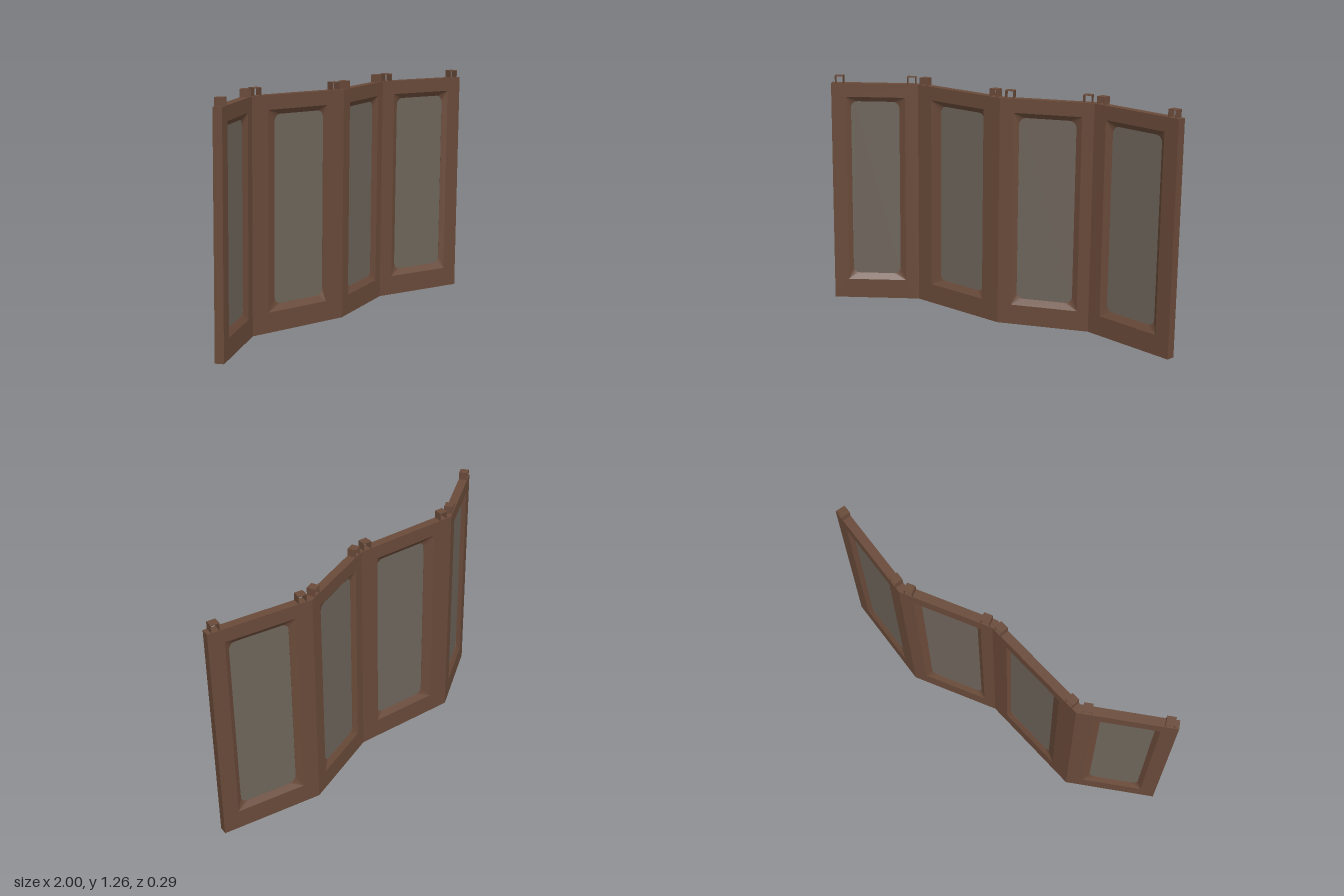
import * as THREE from 'three';

const HEIGHT = 1.195, HALF = 0.0225, ARC = 5;

const wood = new THREE.MeshStandardMaterial({ color: 0x694a39 });
wood.name = 'brown wood';
const pane = new THREE.MeshStandardMaterial({ color: 0x6e655b });
pane.name = 'grey pane';

// Plan of the folding screen: joints of the zigzag as [x, z]
const JOINTS = [[-0.982, 0.12], [-0.565, -0.1], [0, 0], [0.47, -0.125], [0.984, 0.02]];
// Opening of each leaf: half width at the surface, half width and shift of the pane
const OPENINGS = [
  { outer: 0.158, inner: 0.13, shift: -0.004 },
  { outer: 0.183, inner: 0.152, shift: 0.021 },
  { outer: 0.176, inner: 0.148, shift: -0.003 },
  { outer: 0.184, inner: 0.155, shift: 0.003 },
];

// Counter-clockwise rectangle with rounded corners, as points at depth z
function ring(x0, x1, y0, y1, r, z) {
  const corners = [[x1 - r, y1 - r], [x0 + r, y1 - r], [x0 + r, y0 + r], [x1 - r, y0 + r]];
  const points = [];
  corners.forEach(([cx, cy], k) => {
    for (let i = 0; i < ARC; i++) {
      const a = (k + i / (ARC - 1)) * Math.PI / 2;
      points.push(new THREE.Vector3(cx + r * Math.cos(a), cy + r * Math.sin(a), z));
    }
  });
  return points;
}

// Skin a closed sequence of rings with flat faces
function loft(rings) {
  const positions = [];
  rings.forEach((a, k) => {
    const b = rings[(k + 1) % rings.length];
    a.forEach((p, j) => {
      const n = (j + 1) % a.length;
      for (const tri of [[p, a[n], b[n]], [p, b[n], b[j]]]) {
        const [u, v, w] = tri;
        if (u.equals(v) || v.equals(w) || w.equals(u)) continue;
        tri.forEach((q) => positions.push(q.x, q.y, q.z));
      }
    });
  });
  const geometry = new THREE.BufferGeometry();
  geometry.setAttribute('position', new THREE.Float32BufferAttribute(positions, 3));
  geometry.computeVertexNormals();
  return geometry;
}

function addMesh(parent, name, geometry, material, x = 0, y = 0, z = 0) {
  const mesh = new THREE.Mesh(geometry, material);
  mesh.name = name;
  mesh.position.set(x, y, z);
  parent.add(mesh);
  return mesh;
}

// Thin open bracket standing on the top edge
function makeBracket(x) {
  const bracket = new THREE.Group();
  bracket.name = 'topBracket';
  const w = 0.042, h = 0.04, t = 0.003, d = 0.044;
  for (const s of [-1, 1]) {
    addMesh(bracket, 'bracketSide', new THREE.BoxGeometry(t, h, d), wood, s * w / 2, h / 2);
  }
  addMesh(bracket, 'bracketTop', new THREE.BoxGeometry(w, t, d), wood, 0, h - t / 2);
  bracket.position.set(x, HEIGHT, 0);
  return bracket;
}

// One leaf: frame bevelled on both sides, mitred ends, pane and two brackets
function makeLeaf(length, mitreStart, mitreEnd, { outer, inner, shift }) {
  const leaf = new THREE.Group();
  leaf.name = 'screenLeaf';
  const edge = (z) => ring(-length / 2 - z * mitreStart, length / 2 + z * mitreEnd, 0, HEIGHT, 0, z);
  const mouth = (z) => ring(-outer, outer, 0.105, HEIGHT - 0.072, 0, z);
  const throat = (z) => ring(shift - inner, shift + inner, 0.138, HEIGHT - 0.098, 0.035, z);
  addMesh(leaf, 'frame', loft([
    edge(HALF), mouth(HALF), throat(0.004), throat(-0.004), mouth(-HALF), edge(-HALF),
  ]), wood);

  const outline = new THREE.Shape(throat(0).map((p) => new THREE.Vector2(p.x, p.y)));
  addMesh(leaf, 'pane', new THREE.ExtrudeGeometry(outline, { depth: 0.006, bevelEnabled: false }),
    pane, 0, 0, -0.003);

  for (const s of [-1, 1]) leaf.add(makeBracket(s * (length / 2 - 0.043)));
  return leaf;
}

export function createModel() {
  const model = new THREE.Group();
  model.name = 'foldingScreen';
  const screen = new THREE.Group();
  screen.name = 'leaves';

  const turns = OPENINGS.map((_, i) => {
    const [a, b] = [JOINTS[i], JOINTS[i + 1]];
    return -Math.atan2(b[1] - a[1], b[0] - a[0]);
  });
  const mitre = (i) => (i < 0 || i > 2 ? 0 : Math.tan((turns[i + 1] - turns[i]) / 2));

  OPENINGS.forEach((opening, i) => {
    const [a, b] = [JOINTS[i], JOINTS[i + 1]];
    const leaf = makeLeaf(Math.hypot(b[0] - a[0], b[1] - a[1]), mitre(i - 1), mitre(i), opening);
    leaf.position.set((a[0] + b[0]) / 2, 0, (a[1] + b[1]) / 2);
    leaf.rotation.y = turns[i];
    screen.add(leaf);
  });

  // The whole screen leans very slightly to its left
  screen.rotation.z = -0.0135;
  screen.position.set(-0.008, 0.0134, 0);
  model.add(screen);
  return model;
}
